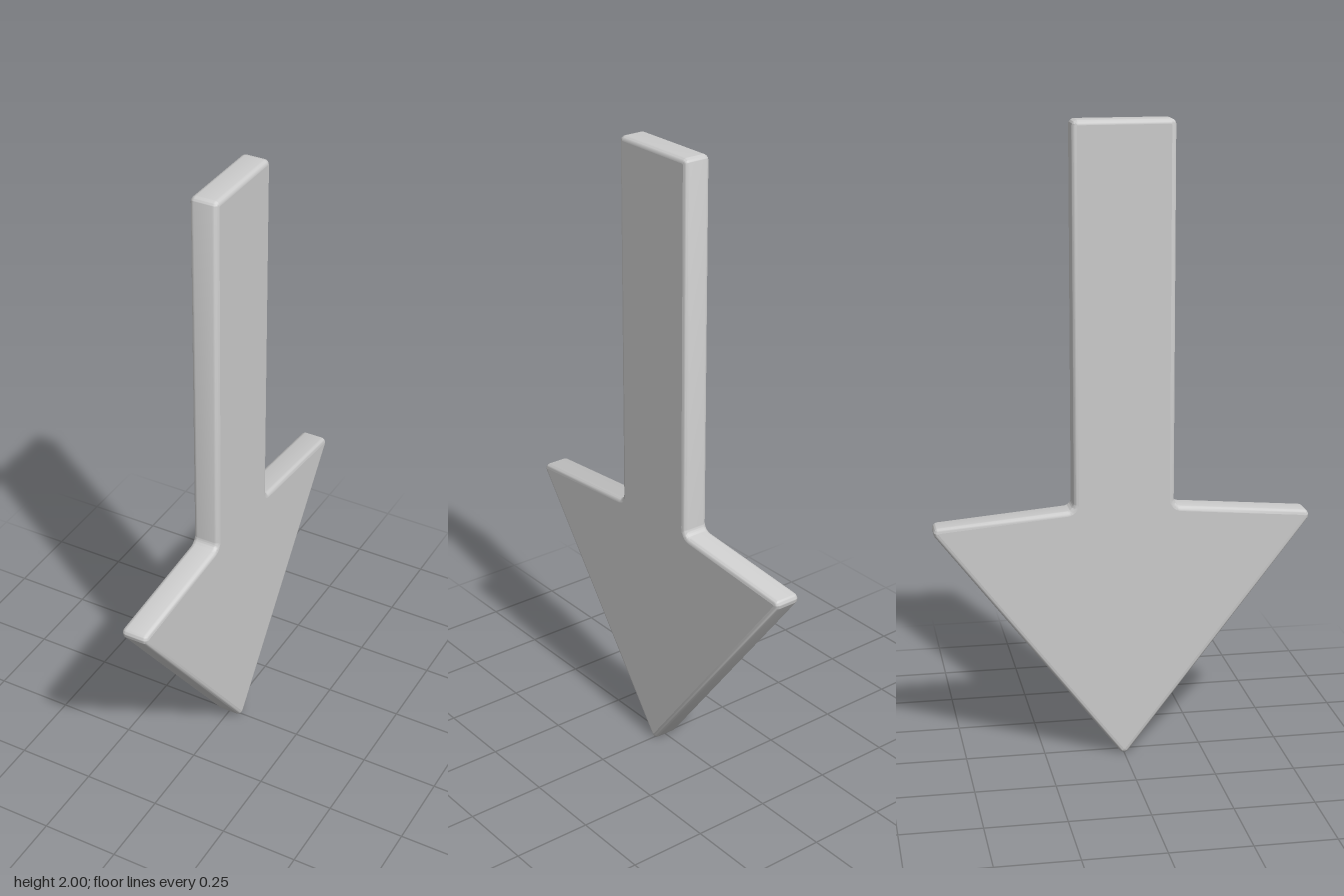
import * as THREE from 'three';
import { toCreasedNormals } from 'three/addons/utils/BufferGeometryUtils.js';

// Closed outline whose corners [x, y, radius] are replaced by true arcs
function roundedOutline(corners) {
  const shape = new THREE.Shape();
  const n = corners.length;
  corners.forEach(([x, y, r], i) => {
    const c = new THREE.Vector2(x, y);
    const [px, py] = corners[(i + n - 1) % n];
    const [nx, ny] = corners[(i + 1) % n];
    const a = new THREE.Vector2(px, py).sub(c).normalize();
    const b = new THREE.Vector2(nx, ny).sub(c).normalize();
    const half = Math.acos(a.dot(b)) / 2;
    const centre = a.clone().add(b).setLength(r / Math.sin(half)).add(c);
    const reach = r / Math.tan(half);
    const from = a.multiplyScalar(reach).add(c).sub(centre).angle();
    const to = b.multiplyScalar(reach).add(c).sub(centre).angle();
    const clockwise = (x - px) * (ny - y) - (y - py) * (nx - x) < 0;
    shape.absarc(centre.x, centre.y, r, from, to, clockwise);
  });
  shape.closePath();
  return shape;
}

export function createModel() {
  const halfThickness = 0.044;
  const bevel = 0.015;

  // Right half of the downward arrow, mirrored for the left half
  const half = [
    [0.605, 0.774, 0.018], // barb tip
    [0.157, 0.812, 0.025], // inner corner
    [0.157, 2, 0.018],     // shaft top
  ];
  const mirrored = half.map(([x, y, r]) => [-x, y, r]).reverse();
  const outline = roundedOutline([[0, -0.012, 0.018], ...half, ...mirrored]);

  const extruded = new THREE.ExtrudeGeometry(outline, {
    depth: 2 * (halfThickness - bevel),
    curveSegments: 6,
    bevelEnabled: true,
    bevelThickness: bevel,
    bevelSize: bevel,
    bevelOffset: -bevel,
    bevelSegments: 4,
  });
  extruded.translate(0, 0, bevel - halfThickness);
  const geometry = toCreasedNormals(extruded, 0.7);

  // Keep the two broad faces evenly flat
  const { position, normal } = geometry.attributes;
  const lids = geometry.groups[0];
  for (let i = lids.start; i < lids.start + lids.count; i++) {
    normal.setXYZ(i, 0, 0, Math.sign(position.getZ(i)));
  }
  geometry.clearGroups();
  geometry.rotateY(Math.PI / 2);

  const arrow = new THREE.Mesh(geometry, new THREE.MeshStandardMaterial({ color: 0xcccccc }));
  arrow.name = 'downArrow';
  const group = new THREE.Group();
  group.name = 'arrowSign';
  group.add(arrow);
  return group;
}
